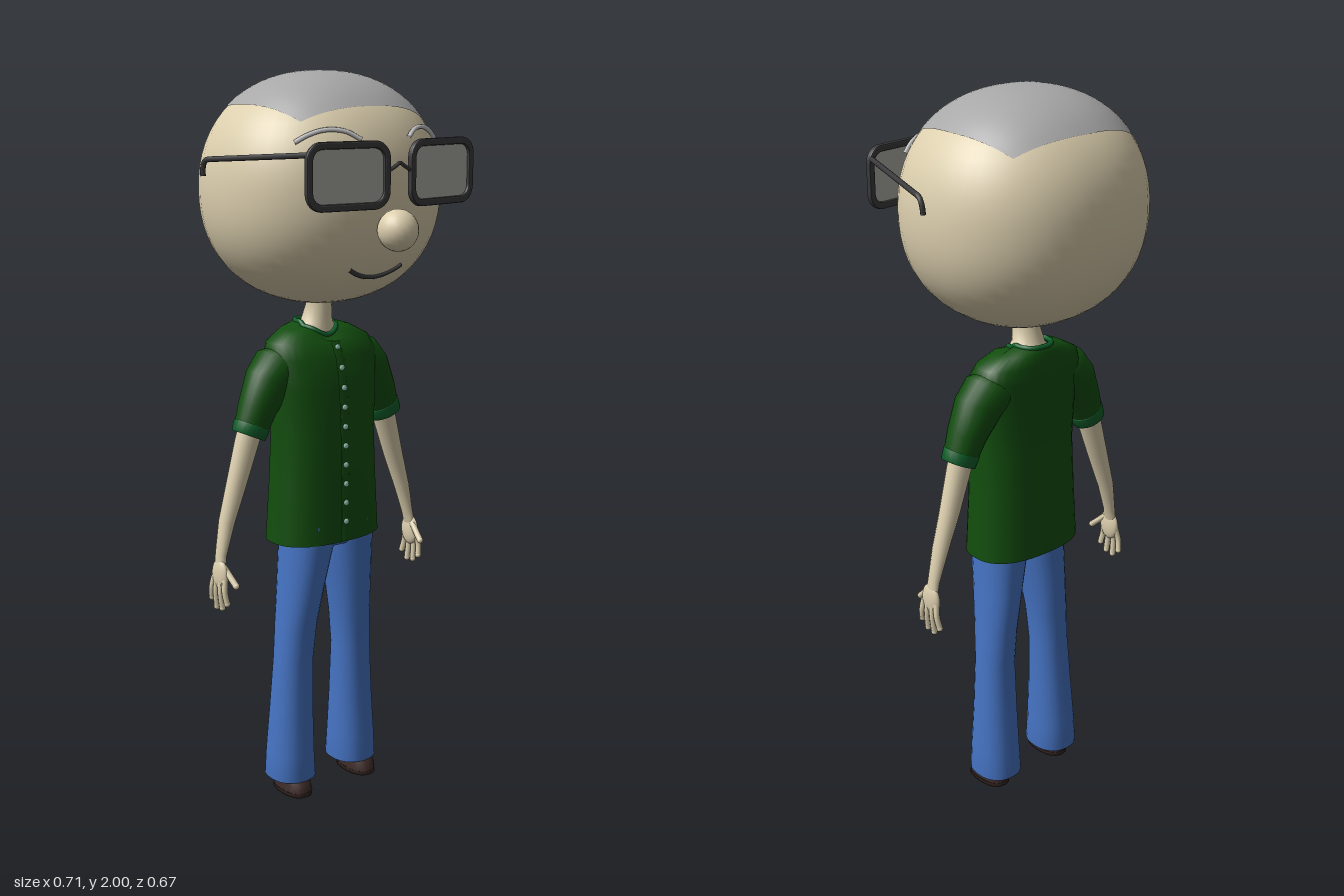
import * as THREE from 'three';
import { mergeVertices } from 'three/addons/utils/BufferGeometryUtils.js';

const V = (x, y, z) => new THREE.Vector3(x, y, z);
const mat = (color, side = THREE.FrontSide) => new THREE.MeshStandardMaterial({ color, side });
const skin = mat(0xdccfae), hair = mat(0xa8a8a8), grey = mat(0xcccccc);
const shirtMat = mat(0x124d0e, THREE.DoubleSide), trimMat = mat(0x0f5f2a);
const denim = mat(0x4674c4, THREE.DoubleSide), shoeMat = mat(0x3d2b28);
const dark = mat(0x3a3a3c), lensMat = mat(0xadada5, THREE.DoubleSide), buttonMat = mat(0xa5d8c4);

function add(parent, name, geometry, material) {
  const m = new THREE.Mesh(geometry, material);
  m.name = name;
  parent.add(m);
  return m;
}

// Point on a rounded ellipse: exponent 2 is an ellipse, more is squarer
function ringPoint([cx, cy, cz, rx, rz, tilt = 0], t, e) {
  const c = Math.cos(t), s = Math.sin(t);
  const k = Math.pow(Math.abs(c) ** e + Math.abs(s) ** e, -1 / e);
  return V(cx + rx * c * k * Math.cos(tilt), cy + rx * c * k * Math.sin(tilt), cz + rz * s * k);
}

// Skin over rings [cx, cy, cz, rx, rz, tilt], listed from top to bottom
function loft(rings, n = 24, e = 2, warp = p => p) {
  const pos = [], idx = [];
  rings.forEach((r, i) => {
    for (let j = 0; j < n; j++) {
      pos.push(...warp(ringPoint(r, j / n * Math.PI * 2, e)).toArray());
      if (i === rings.length - 1) continue;
      const a = i * n + j, b = i * n + (j + 1) % n;
      idx.push(a, b, a + n, b, b + n, a + n);
    }
  });
  const g = new THREE.BufferGeometry();
  g.setAttribute('position', new THREE.Float32BufferAttribute(pos, 3));
  g.setIndex(idx);
  g.computeVertexNormals();
  return g;
}

const tube = (pts, r, closed = false, n = 32) =>
  new THREE.TubeGeometry(new THREE.CatmullRomCurve3(pts, closed), n, r, 8, closed);

function ellipsoid(parent, name, material, p, r) {
  const m = add(parent, name, new THREE.SphereGeometry(1, 20, 14), material);
  m.position.copy(p);
  m.scale.copy(r);
  return m;
}

// Head: slightly squared ellipsoid
const HC = V(0, 1.7, -0.042), HR = V(0.32, 0.3, 0.292), HP = 2.2;
const rest = (a, b) => Math.pow(Math.max(0, 1 - Math.abs(a) ** HP - Math.abs(b) ** HP), 1 / HP);
const headZ = (x, y) => HC.z + HR.z * rest(x / HR.x, (y - HC.y) / HR.y);
const headY = (x, z) => HC.y + HR.y * rest(x / HR.x, (z - HC.z) / HR.z);

function headGeometry() {
  let g = new THREE.SphereGeometry(1, 48, 32);
  g.deleteAttribute('uv');
  g.deleteAttribute('normal');
  g = mergeVertices(g);
  const p = g.attributes.position, v = V(0, 0, 0);
  for (let i = 0; i < p.count; i++) {
    v.fromBufferAttribute(p, i);
    const k = Math.pow(Math.abs(v.x) ** HP + Math.abs(v.y) ** HP + Math.abs(v.z) ** HP, -1 / HP);
    v.multiplyScalar(k).multiply(HR).add(HC);
    p.setXYZ(i, v.x, v.y, v.z);
  }
  g.computeVertexNormals();
  return g;
}

// Cropped hair: a rounded square laid over the crown
function hairGeometry() {
  const g = new THREE.PlaneGeometry(2, 2, 24, 24).rotateX(-Math.PI / 2);
  const p = g.attributes.position;
  for (let i = 0; i < p.count; i++) {
    const u = p.getX(i), w = p.getZ(i);
    const x = 0.237 * u * Math.sqrt(1 - 0.32 * w * w);
    const z = HC.z + 0.219 * w * Math.sqrt(1 - 0.32 * u * u);
    p.setXYZ(i, x, headY(x, z) + 0.003, z);
  }
  g.computeVertexNormals();
  return g;
}

function roundedRect(w, h, r, Type = THREE.Shape) {
  const s = new Type();
  s.absarc(w - r, h - r, r, 0, Math.PI / 2);
  s.absarc(r - w, h - r, r, Math.PI / 2, Math.PI);
  s.absarc(r - w, r - h, r, Math.PI, Math.PI * 1.5);
  s.absarc(w - r, r - h, r, Math.PI * 1.5, Math.PI * 2);
  s.closePath();
  return s;
}

// Shirt rings, also used to seat the placket and buttons
const torso = [
  [0, 1.345, -0.065, 0.05, 0.055], [0, 1.33, -0.065, 0.1, 0.066], [0, 1.3, -0.055, 0.155, 0.078],
  [0, 1.26, -0.045, 0.17, 0.09], [0, 1.18, -0.035, 0.16, 0.096], [0, 1.05, -0.033, 0.15, 0.101],
  [0, 0.9, -0.034, 0.157, 0.105], [0, 0.75, -0.035, 0.168, 0.107]];
function frontZ(y) {
  const i = Math.max(1, torso.findIndex(r => r[1] <= y)), a = torso[i - 1], b = torso[i];
  return THREE.MathUtils.mapLinear(y, a[1], b[1], a[2] + a[4], b[2] + b[4]);
}
// Collar dips at the front
function collarDip(p) {
  if (p.y > 1.32 && p.z > -0.06) p.y -= 0.032 * Math.exp(-((p.x / 0.045) ** 2));
  return p;
}

function buildFaceSide(side) {
  // Eye and brow
  const eye = ellipsoid(side, 'eye', dark, V(0.132, 1.745, 0.238), V(0.055, 0.045, 0.012));
  eye.rotation.y = 0.25;
  const brow = [[0.075, 1.838], [0.11, 1.858], [0.155, 1.862], [0.195, 1.85], [0.225, 1.832]];
  add(side, 'eyebrow', tube(brow.map(([x, y]) => V(x, y, headZ(x, y) + 0.008)), 0.006), grey);

  // Spectacle rim, lens and temple
  const rim = new THREE.Group();
  rim.name = 'eyeglass';
  rim.position.set(0.149, 1.755, 0.269);
  rim.rotation.y = 0.126;
  side.add(rim);
  const shape = roundedRect(0.114, 0.079, 0.04);
  shape.holes.push(roundedRect(0.104, 0.069, 0.032, THREE.Path));
  const frame = new THREE.ExtrudeGeometry(shape, {
    depth: 0.008, bevelSize: 0.004, bevelThickness: 0.004, bevelSegments: 2, curveSegments: 6 });
  add(rim, 'rim', frame.translate(0, 0, -0.004), dark);
  add(rim, 'lens', new THREE.ShapeGeometry(roundedRect(0.106, 0.071, 0.034), 6), lensMat);
  const temple = new THREE.CurvePath();
  temple.add(new THREE.LineCurve3(V(0.255, 1.808, 0.256), V(0.344, 1.787, -0.05)));
  temple.add(new THREE.QuadraticBezierCurve3(V(0.344, 1.787, -0.05), V(0.348, 1.784, -0.072), V(0.345, 1.745, -0.072)));
  add(side, 'temple', new THREE.TubeGeometry(temple, 40, 0.007, 8), dark);
}

function buildBodySide(side) {
  // Sleeve with turned cuff
  add(side, 'sleeve', loft([
    [0.1, 1.255, -0.055, 0.05, 0.055, 0.75], [0.13, 1.24, -0.054, 0.068, 0.068, 0.68],
    [0.168, 1.2, -0.052, 0.064, 0.064, 0.55], [0.205, 1.13, -0.05, 0.053, 0.053, 0.45],
    [0.23, 1.068, -0.05, 0.046, 0.043, 0.42]]), shirtMat);
  add(side, 'cuff', loft([
    [0.221, 1.09, -0.05, 0.046, 0.045, 0.42], [0.222, 1.088, -0.05, 0.051, 0.048, 0.42],
    [0.234, 1.06, -0.05, 0.048, 0.046, 0.42], [0.234, 1.06, -0.05, 0.036, 0.034, 0.42]]), trimMat);

  // Arm, palm and fingers
  add(side, 'arm', loft([
    [0.215, 1.11, -0.052, 0.036, 0.034, 0.4], [0.238, 1.04, -0.054, 0.034, 0.031, 0.38],
    [0.272, 0.93, -0.056, 0.028, 0.027, 0.32], [0.305, 0.83, -0.056, 0.021, 0.024, 0.28],
    [0.326, 0.745, -0.053, 0.014, 0.019, 0.2], [0.332, 0.71, -0.05, 0.011, 0.022, 0.1]], 16), skin);
  ellipsoid(side, 'palm', skin, V(0.333, 0.69, -0.048), V(0.014, 0.045, 0.034));
  const finger = (name, pts, r) => {
    add(side, name, tube(pts, r, false, 10), skin);
    ellipsoid(side, name + 'Tip', skin, pts[pts.length - 1], V(r, r, r));
  };
  [[-0.022, -0.012, 0.618], [-0.04, -0.036, 0.6], [-0.057, -0.062, 0.597], [-0.072, -0.086, 0.617]].forEach(
    ([z0, z1, y]) => finger('finger', [V(0.335, 0.685, z0), V(0.34, 0.65, (z0 + z1) / 2), V(0.336, y, z1)], 0.0085));
  finger('thumb', [V(0.33, 0.715, -0.035), V(0.325, 0.69, -0.008), V(0.322, 0.672, 0.012)], 0.009);

  // Flared trouser leg
  add(side, 'trouserLeg', loft([
    [0.066, 0.8, -0.02, 0.068, 0.085], [0.069, 0.73, -0.02, 0.068, 0.082], [0.082, 0.62, -0.027, 0.058, 0.075],
    [0.095, 0.5, -0.034, 0.054, 0.062], [0.102, 0.4, -0.037, 0.053, 0.056], [0.106, 0.25, -0.042, 0.058, 0.062],
    [0.109, 0.12, -0.045, 0.064, 0.07], [0.109, 0.042, -0.046, 0.067, 0.075],
    [0.109, 0.045, -0.046, 0.06, 0.068], [0.109, 0.1, -0.046, 0.05, 0.055]], 24, 2.3), denim);

  // Shoe: upper over a flat sole
  add(side, 'shoe', loft([
    [0.115, 0.1, -0.055, 0.001, 0.001], [0.115, 0.1, -0.055, 0.028, 0.03], [0.115, 0.05, -0.035, 0.036, 0.055],
    [0.115, 0.035, -0.027, 0.039, 0.064], [0.115, 0.012, -0.025, 0.041, 0.067]], 24, 2.4), shoeMat);
  add(side, 'sole', loft([
    [0.115, 0.013, -0.025, 0.043, 0.069], [0.115, 0, -0.025, 0.042, 0.068],
    [0.115, 0, -0.025, 0.0001, 0.0001]], 24, 2.4), shoeMat);
}

export function createModel() {
  const root = new THREE.Group();
  root.name = 'cartoonMan';

  add(root, 'head', headGeometry(), skin);
  add(root, 'hair', hairGeometry(), hair);
  ellipsoid(root, 'nose', skin, V(0, 1.617, 0.28), V(0.052, 0.053, 0.053));
  const smile = [-0.085, -0.06, -0.03, 0, 0.03, 0.06, 0.085].map(x => {
    const y = 1.49 + 3.6 * x * x;
    return V(x, y, headZ(x, y) + 0.001);
  });
  add(root, 'mouth', tube(smile, 0.006), dark);
  add(root, 'bridge', tube([V(-0.038, 1.762, 0.283), V(-0.015, 1.774, 0.284), V(0, 1.782, 0.284),
    V(0.015, 1.774, 0.284), V(0.038, 1.762, 0.283)], 0.005), dark);

  add(root, 'neck', loft([[0, 1.46, -0.05, 0.038, 0.042], [0, 1.39, -0.05, 0.034, 0.038],
    [0, 1.345, -0.06, 0.042, 0.046], [0, 1.3, -0.063, 0.085, 0.052]]), skin);

  // Shirt with collar trim, placket and buttons
  add(root, 'shirt', loft(torso, 40, 2.5, collarDip), shirtMat);
  const collar = Array.from({ length: 24 }, (_, i) => collarDip(ringPoint(torso[0], i / 24 * Math.PI * 2, 2.5)));
  add(root, 'collar', tube(collar, 0.007, true, 64), trimMat);
  const placket = [1.3, 1.26, 1.18, 1.05, 0.9, 0.752].map(y => [0, y, frontZ(y), 0.013, 0.003]);
  add(root, 'placket', loft(placket, 8, 4), shirtMat);
  for (let i = 0; i < 10; i++) {
    const y = 1.285 - i * 0.053;
    ellipsoid(root, 'button', buttonMat, V(0, y, frontZ(y) + 0.003), V(0.008, 0.008, 0.004));
  }

  // Trouser seat joining both legs
  add(root, 'trouserSeat', loft([[0, 0.85, -0.025, 0.135, 0.085], [0, 0.76, -0.022, 0.132, 0.083],
    [0, 0.735, -0.022, 0.08, 0.07], [0, 0.715, -0.022, 0.001, 0.001]], 32, 2.3), denim);

  for (const s of [1, -1]) {
    const side = new THREE.Group();
    side.name = s > 0 ? 'leftSide' : 'rightSide';
    side.scale.x = s;
    buildFaceSide(side);
    buildBodySide(side);
    root.add(side);
  }
  return root;
}
